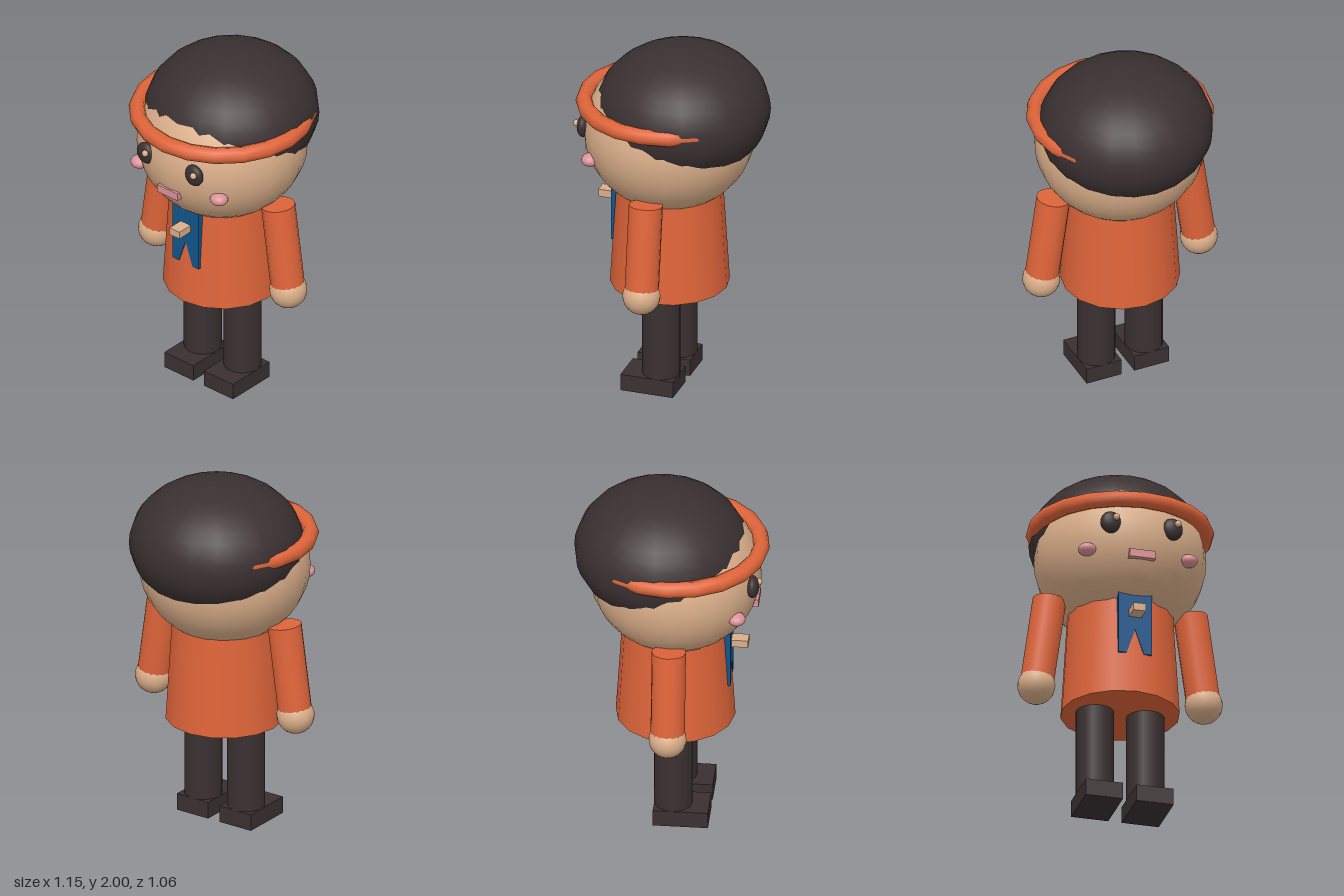
import * as THREE from 'three';

export function createModel() {
  const model = new THREE.Group();
  model.name = 'figure';
  const Z = 0.018; // depth of the body's axis

  const mat = (name, color) => {
    const m = new THREE.MeshStandardMaterial({ color });
    m.name = name;
    return m;
  };
  const orange = mat('orange', 0xe0653a);
  const skin = mat('skin', 0xdbaf8a);
  const dark = mat('charcoal', 0x3a3031);
  const blue = mat('blue', 0x10568c);
  const pink = mat('pink', 0xdb9298);

  const add = (name, geometry, material, x, y, z) => {
    const mesh = new THREE.Mesh(geometry, material);
    mesh.name = name;
    mesh.position.set(x, y, z);
    model.add(mesh);
    return mesh;
  };
  const ellipsoid = (rx, ry, rz, w = 20, h = 16) => new THREE.SphereGeometry(1, w, h).scale(rx, ry, rz);

  // Head, hair and headband
  add('head', ellipsoid(0.467, 0.435, 0.467, 24, 20), skin, 0, 1.495, Z);
  add('hair', ellipsoid(0.475, 0.36, 0.475, 20, 20), dark, 0, 1.64, -0.058);
  const band = new THREE.TorusGeometry(0.465, 0.046, 8, 20).rotateX(Math.PI / 2);
  add('headband', band, orange, 0, 1.668, Z);
  add('mouth', new THREE.BoxGeometry(0.145, 0.045, 0.04), pink, 0, 1.353, 0.455);

  // Tapered coat
  add('coat', new THREE.CylinderGeometry(0.287, 0.325, 0.62, 16), orange, 0, 0.9, Z);

  // Notched scarf with a knot
  const scarf = new THREE.Shape([
    [-0.093, 1.2], [-0.093, 0.825], [-0.048, 0.825], [0, 0.965],
    [0.048, 0.825], [0.093, 0.825], [0.093, 1.2],
  ].map(([x, y]) => new THREE.Vector2(x, y)));
  add('scarf', new THREE.ExtrudeGeometry(scarf, { depth: 0.035, bevelEnabled: false }), blue, 0, 0, 0.289);
  add('scarfKnot', new THREE.BoxGeometry(0.07, 0.043, 0.1), skin, 0, 1.062, 0.365);

  // Paired parts
  for (const [side, s] of [['left', 1], ['right', -1]]) {
    add(side + 'Eye', ellipsoid(0.058, 0.063, 0.034), dark, s * 0.173, 1.527, 0.452);
    add(side + 'EyeHighlight', ellipsoid(0.019, 0.019, 0.016, 12, 8), skin, s * 0.173 + 0.023, 1.548, 0.487);
    add(side + 'Cheek', ellipsoid(0.05, 0.035, 0.048), pink, s * 0.285, 1.386, 0.376);

    const arm = add(side + 'Arm', new THREE.CylinderGeometry(0.093, 0.093, 0.5, 16), orange, s * 0.432, 0.976, Z);
    arm.rotation.z = s * 0.14;
    add(side + 'Hand', ellipsoid(0.103, 0.103, 0.103), skin, s * 0.47, 0.708, Z);

    add(side + 'Leg', new THREE.CylinderGeometry(0.104, 0.104, 0.55, 16), dark, s * 0.142, 0.345, Z);
    add(side + 'Shoe', new THREE.BoxGeometry(0.208, 0.095, 0.3), dark, s * 0.142, 0.0475, 0.066);
  }

  return model;
}
